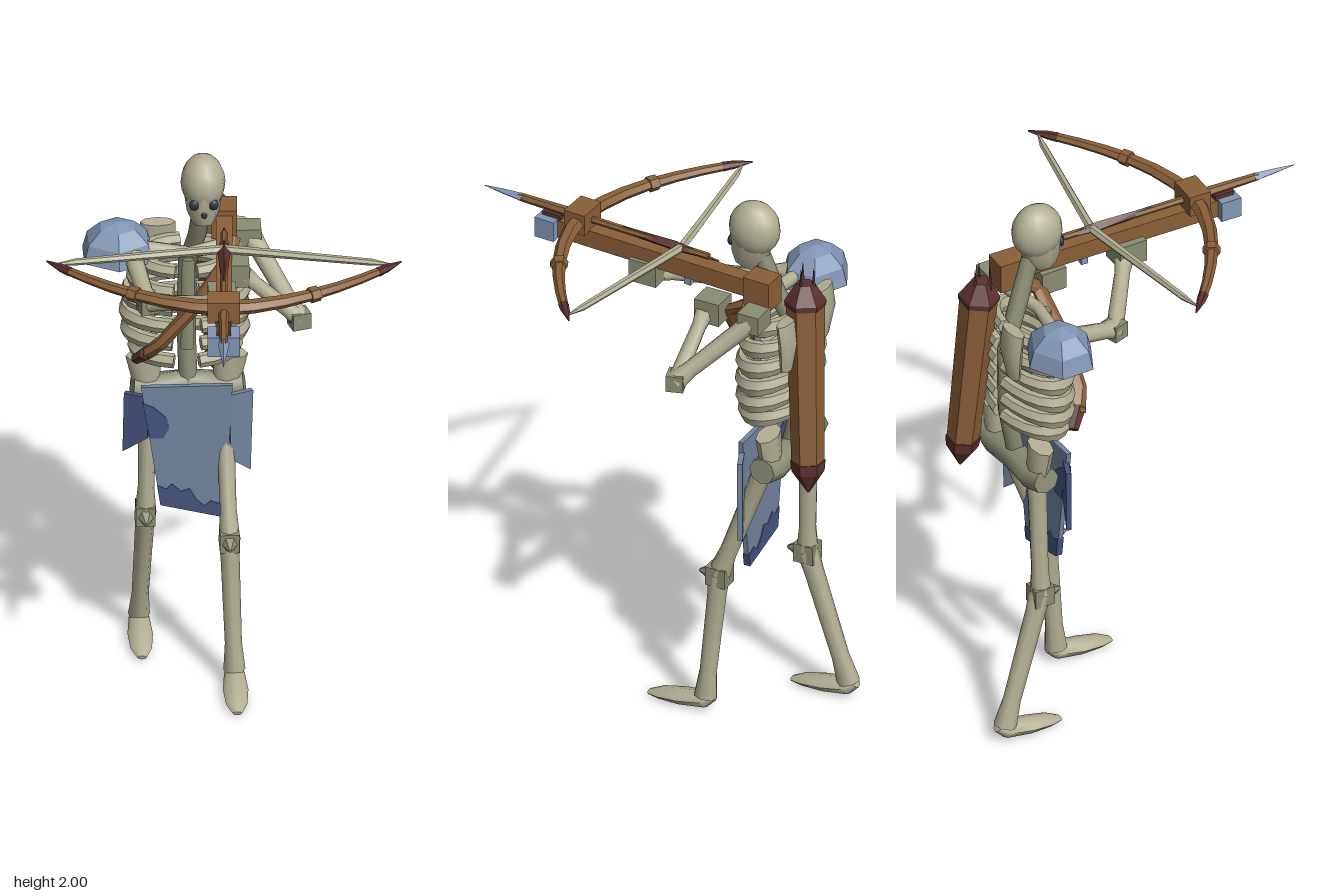
import * as THREE from 'three';
import { toCreasedNormals } from 'three/addons/utils/BufferGeometryUtils.js';

const mat = (name, color, side = THREE.FrontSide) => {
  const m = new THREE.MeshStandardMaterial({ color, side });
  m.name = name;
  return m;
};

// Loft through stations [x, y, z, halfWidth, halfHeight]
function loft(st, sides = 8, crease = 0.95) {
  const P = st.map(s => new THREE.Vector3(s[0], s[1], s[2]));
  const n = P.length, pos = [], idx = [];
  const dir = P[n - 1].clone().sub(P[0]).normalize();
  const up = Math.abs(dir.y) > 0.85 ? new THREE.Vector3(0, 0, 1) : new THREE.Vector3(0, 1, 0);
  P.forEach((p, i) => {
    const t = P[Math.min(i + 1, n - 1)].clone().sub(P[Math.max(i - 1, 0)]).normalize();
    const a = up.clone().cross(t).normalize(), b = t.clone().cross(a);
    for (let j = 0; j < sides; j++) {
      const k = j / sides * Math.PI * 2;
      const v = p.clone().addScaledVector(a, Math.cos(k) * st[i][3])
        .addScaledVector(b, Math.sin(k) * (st[i][4] ?? st[i][3]));
      pos.push(v.x, v.y, v.z);
    }
  });
  pos.push(...P[0].toArray(), ...P[n - 1].toArray());
  const c0 = n * sides, c1 = c0 + 1;
  for (let j = 0; j < sides; j++) {
    const q = (j + 1) % sides, e = (n - 1) * sides;
    for (let i = 0; i < n - 1; i++) {
      const r = i * sides, s = r + sides;
      idx.push(r + j, r + q, s + j, r + q, s + q, s + j);
    }
    idx.push(c0, q, j, c1, e + j, e + q);
  }
  const g = new THREE.BufferGeometry();
  g.setAttribute('position', new THREE.Float32BufferAttribute(pos, 3));
  g.setIndex(idx);
  return toCreasedNormals(g, crease);
}

// Long bone with slightly swollen ends
const boneGeo = (a, b, r, d = r) => {
  const at = (t, k) => [0, 1, 2].map(i => a[i] + (b[i] - a[i]) * t).concat(r * k, d * k);
  return loft([at(0, 1.1), at(0.15, 0.95), at(0.8, 0.85), at(1, 1.1)]);
};

const plate = (pts, depth) => {
  const g = new THREE.ExtrudeGeometry(new THREE.Shape(pts.map(p => new THREE.Vector2(...p))), { depth, bevelEnabled: false });
  return g.translate(0, 0, -depth / 2);
};

export function createModel() {
  const bone = mat('bone', 0xb4b096), joint = mat('dark bone', 0x8b8d74);
  const wood = mat('wood', 0x8a5f38), red = mat('dark red leather', 0x5c3230);
  const steel = mat('steel', 0x8296b4), cloth = mat('cloth', 0x74859f);
  const navy = mat('navy cloth', 0x46557f), black = mat('socket', 0x2c3348);
  const model = new THREE.Group();
  const add = (name, geo, m, parent = model) => {
    const mesh = new THREE.Mesh(geo, m);
    mesh.name = name;
    parent.add(mesh);
    return mesh;
  };
  const box = (name, w, h, d, x, y, z, m, parent) => {
    const b = add(name, new THREE.BoxGeometry(w, h, d), m, parent);
    b.position.set(x, y, z);
    return b;
  };
  const ball = (name, x, y, z, sx, sy, sz, m) => {
    const b = add(name, new THREE.SphereGeometry(1, 14, 10), m);
    b.position.set(x, y, z);
    b.scale.set(sx, sy, sz);
    return b;
  };

  // Skull and jaw
  ball('cranium', -0.055, 1.9, -0.37, 0.076, 0.1, 0.092, bone);
  add('jaw', loft([[-0.055, 1.87, -0.36, 0.066, 0.08], [-0.055, 1.8, -0.352, 0.056, 0.07], [-0.055, 1.755, -0.34, 0.036, 0.045]]), bone);
  for (const s of [-1, 1]) ball('eyeSocket', -0.055 + s * 0.032, 1.85, -0.298, 0.018, 0.02, 0.012, black);
  ball('noseHole', -0.055, 1.815, -0.288, 0.01, 0.014, 0.008, black);

  // Spine, sternum, collar bones, shoulder blades
  add('spine', loft([[-0.1, 1.04, -0.48, 0.032], [-0.105, 1.25, -0.52, 0.032], [-0.1, 1.5, -0.52, 0.032], [-0.07, 1.65, -0.45, 0.032], [-0.055, 1.82, -0.39, 0.03]]), joint);
  add('sternum', loft([[-0.105, 1.6, -0.36, 0.022, 0.012], [-0.11, 1.26, -0.345, 0.022, 0.012]], 6), joint);
  add('collarBone', loft([[-0.3, 1.62, -0.43, 0.025], [-0.1, 1.61, -0.39, 0.022], [0.1, 1.63, -0.44, 0.025]]), bone);
  for (const x of [-0.2, 0.05])
    add('shoulderBlade', loft([[x, 1.64, -0.55, 0.06, 0.025], [x, 1.56, -0.56, 0.06, 0.028], [x, 1.45, -0.55, 0.035, 0.018]]), bone);

  // Ribs: six pairs of arcs, open at the front
  const ribRadius = [0.15, 0.18, 0.2, 0.205, 0.2, 0.175];
  ribRadius.forEach((rx, i) => {
    for (const s of [-1, 1]) {
      const st = [];
      for (let k = 0; k <= 9; k++) {
        const a = 0.1 + k / 9 * 2.8;
        st.push([-0.112 + s * rx * Math.sin(a), 1.57 - i * 0.068 + 0.015 * Math.cos(a),
          -0.44 - (i ? 0.105 : 0.085) * Math.cos(a), 0.022, 0.036 - 0.01 * Math.abs(Math.cos(a))]);
      }
      add('rib', loft(st, 6, 0.6), bone);
    }
  });

  // Pelvis with flared hip wings
  add('pelvis', loft([[-0.29, 1.04, -0.475, 0.05, 0.045], [-0.22, 1.03, -0.48, 0.06, 0.05], [-0.1, 1.04, -0.49, 0.045, 0.05], [0.02, 1.03, -0.48, 0.06, 0.05], [0.09, 1.04, -0.475, 0.05, 0.045]]), joint);
  for (const s of [-1, 1])
    add('hipWing', loft([[-0.105 + s * 0.135, 1.04, -0.48, 0.045, 0.035], [-0.105 + s * 0.148, 1.165, -0.475, 0.06, 0.038]]), bone);

  // Legs: left steps forward, right trails
  const legs = { left: [[0.02, 1.02, -0.45], [0.03, 0.55, -0.28], [0.045, 0.06, -0.235]],
    right: [[-0.235, 1.02, -0.48], [-0.245, 0.55, -0.47], [-0.26, 0.06, -0.62]] };
  for (const [side, [hip, knee, ankle]] of Object.entries(legs)) {
    add(side + 'Thigh', boneGeo(hip, knee, 0.033, 0.037), bone);
    add(side + 'Shin', boneGeo(knee, ankle, 0.034, 0.038), bone);
    box(side + 'Knee', 0.066, 0.07, 0.075, knee[0], 0.545, knee[2], joint);
    add(side + 'KneeCap', loft([[knee[0], 0.545, knee[2] + 0.03, 0.03], [knee[0], 0.54, knee[2] + 0.075, 0.006]], 6, 0.3), joint);
    const [x, , z] = ankle;
    add(side + 'Foot', loft([[x, 0.065, z - 0.03, 0.02, 0.018], [x, 0.045, z, 0.035, 0.03], [x, 0.032, z + 0.09, 0.043, 0.027], [x, 0.022, z + 0.17, 0.036, 0.018], [x, 0.012, z + 0.215, 0.016, 0.008]]), bone);
  }

  // Arms: right supports the crossbow, left draws at the trigger
  const arms = { right: [[-0.3, 1.62, -0.43], [-0.25, 1.54, -0.18], [-0.03, 1.635, -0.01]],
    left: [[0.11, 1.64, -0.45], [0.265, 1.43, -0.24], [0.08, 1.6, -0.25]] };
  for (const [side, [shoulder, elbow, wrist]] of Object.entries(arms)) {
    add(side + 'UpperArm', boneGeo(shoulder, elbow, 0.035), bone);
    add(side + 'Forearm', boneGeo(elbow, wrist, 0.031), bone);
    const e = box(side + 'Elbow', 0.065, 0.06, 0.06, ...elbow, joint);
    e.rotation.y = 0.3;
  }
  box('rightHand', 0.095, 0.085, 0.105, -0.008, 1.658, 0.012, joint);
  box('leftHand', 0.09, 0.085, 0.095, 0.05, 1.612, -0.265, joint);
  box('leftShoulder', 0.09, 0.07, 0.08, 0.1, 1.645, -0.45, joint);

  // Shoulder guard
  const dome = new THREE.SphereGeometry(0.125, 6, 3, 0, Math.PI * 2, 0, Math.PI / 2).rotateY(Math.PI / 6);
  const guard = add('shoulderGuard', toCreasedNormals(dome, 0.1), mat('steel dome', 0x8296b4, THREE.DoubleSide));
  guard.position.set(-0.34, 1.575, -0.45);
  guard.scale.set(1.08, 1.02, 0.97);

  // Chest strap
  const strap = [[0.04, 1.66, -0.4], [0.02, 1.6, -0.32], [-0.08, 1.46, -0.295], [-0.2, 1.31, -0.3], [-0.25, 1.25, -0.335]];
  add('chestStrap', loft(strap.map(p => [...p, 0.035, 0.022]), 6, 0.3), wood);
  add('strapEnd', loft([[-0.235, 1.265, -0.325, 0.036, 0.026], [-0.28, 1.21, -0.37, 0.025, 0.02]], 6, 0.3), red);

  // Quiver with pointed ends and bolts
  const q = (y, r) => { const t = (1.75 - y) / 0.78; return [-0.03 + 0.06 * t, y, -0.577 - 0.045 * t, r, r]; };
  add('quiver', loft([q(1.68, 0.066), q(1.08, 0.056)], 6, 0.3), wood);
  add('quiverTop', loft([q(1.755, 0.032), q(1.69, 0.072), q(1.67, 0.07)], 6, 0.3), red);
  add('quiverBase', loft([q(1.09, 0.06), q(1.05, 0.056), q(0.97, 0.004)], 6, 0.3), red);
  for (const [dx, dz] of [[-0.025, 0.022], [0.02, 0.005], [-0.01, -0.028]])
    add('quiverBolt', loft([[-0.03 + dx, 1.72, -0.577 + dz, 0.009], [-0.03 + dx, 1.815, -0.577 + dz, 0.001]], 4, 0.3), red);

  // Cloth apron with ragged navy hem, and side flaps
  const apron = add('apron', plate([[-0.265, 1.1], [-0.2, 0.64], [0, 0.59], [0.03, 0.8], [0.045, 1.1]], 0.018), cloth);
  const hem = add('apronHem', plate([[-0.211, 0.715], [-0.2, 0.638], [0, 0.588], [0.008, 0.635], [-0.03, 0.65], [-0.05, 0.63], [-0.08, 0.66], [-0.1, 0.7], [-0.13, 0.69], [-0.16, 0.72], [-0.18, 0.7]], 0.024), navy);
  const patch = add('apronPatch', plate([[-0.26, 1.04], [-0.236, 0.9], [-0.19, 0.9], [-0.17, 0.94], [-0.18, 0.98], [-0.22, 1.02]], 0.024), navy);
  for (const p of [apron, hem, patch]) p.position.z = -0.37;
  const flapL = add('leftFlap', plate([[0, 1.06], [0, 0.81], [0.075, 0.75], [0.085, 1.06]], 0.018), cloth);
  flapL.position.set(0.035, 0, -0.37);
  flapL.rotation.y = 0.4;
  const flapR = add('rightFlap', plate([[0, 1.06], [-0.085, 1.06], [-0.09, 0.83], [0, 0.9]], 0.018), navy);
  flapR.position.set(-0.24, 0, -0.37);
  flapR.rotation.y = -0.4;

  // Crossbow, yawed slightly
  const bow = new THREE.Group();
  bow.name = 'crossbow';
  bow.position.set(-0.015, 1.78, 0.27);
  bow.rotation.y = -0.05;
  model.add(bow);
  box('stock', 0.055, 0.065, 0.86, 0, -0.062, -0.31, wood, bow);
  box('butt', 0.085, 0.11, 0.1, 0, -0.065, -0.71, wood, bow);
  box('bowMount', 0.11, 0.078, 0.08, 0, 0.002, 0, wood, bow);
  box('noseBlock', 0.11, 0.075, 0.075, 0, -0.062, 0.12, steel, bow);
  box('noseCap', 0.05, 0.02, 0.07, 0, -0.02, 0.11, red, bow);
  box('trigger', 0.02, 0.045, 0.025, 0, -0.11, -0.42, steel, bow);
  const limbZ = x => -0.3 * Math.pow(Math.abs(x) / 0.59, 1.8);
  const limb = (x, k = 1) => [x, 0, limbZ(x), k * (0.031 - 0.028 * Math.abs(x)), k * (0.026 - 0.022 * Math.abs(x))];
  add('bowLimbs', loft([-0.53, -0.46, -0.38, -0.29, -0.2, -0.1, 0, 0.1, 0.2, 0.29, 0.38, 0.46, 0.53].map(x => limb(x)), 6, 0.3), wood, bow);
  for (const s of [-1, 1]) {
    add('bowTip', loft([limb(s * 0.52, 1.1), limb(s * 0.55), limb(s * 0.6, 0.2)], 6, 0.3), red, bow);
    add('bowBand', loft([limb(s * 0.29, 1.35), limb(s * 0.32, 1.35)], 6, 0.3), wood, bow);
    add('bowString', loft([[0, 0, -0.39, 0.016], [s * 0.14, 0, -0.367, 0.015], [s * 0.5, 0, -0.305, 0.012], [s * 0.57, 0, -0.288, 0.003]], 6, 0.3), bone, bow);
  }
  add('bolt', loft([[0, 0, -0.5, 0.012], [0, 0, 0.25, 0.013]], 6, 0.3), wood, bow);
  add('boltShaftFront', loft([[0, 0, 0.04, 0.018], [0, 0, 0.25, 0.014]], 6, 0.3), wood, bow);
  add('boltFletching', loft([[0, -0.006, -0.54, 0.003], [0, 0, -0.37, 0.022, 0.02], [0, 0, -0.16, 0.008, 0.014]], 4, 0.3), red, bow);
  add('boltHead', loft([[0, 0, 0.235, 0.02, 0.017], [0, 0, 0.31, 0.011, 0.011], [0, 0, 0.39, 0.001]], 4, 0.3), steel, bow);

  return model;
}
